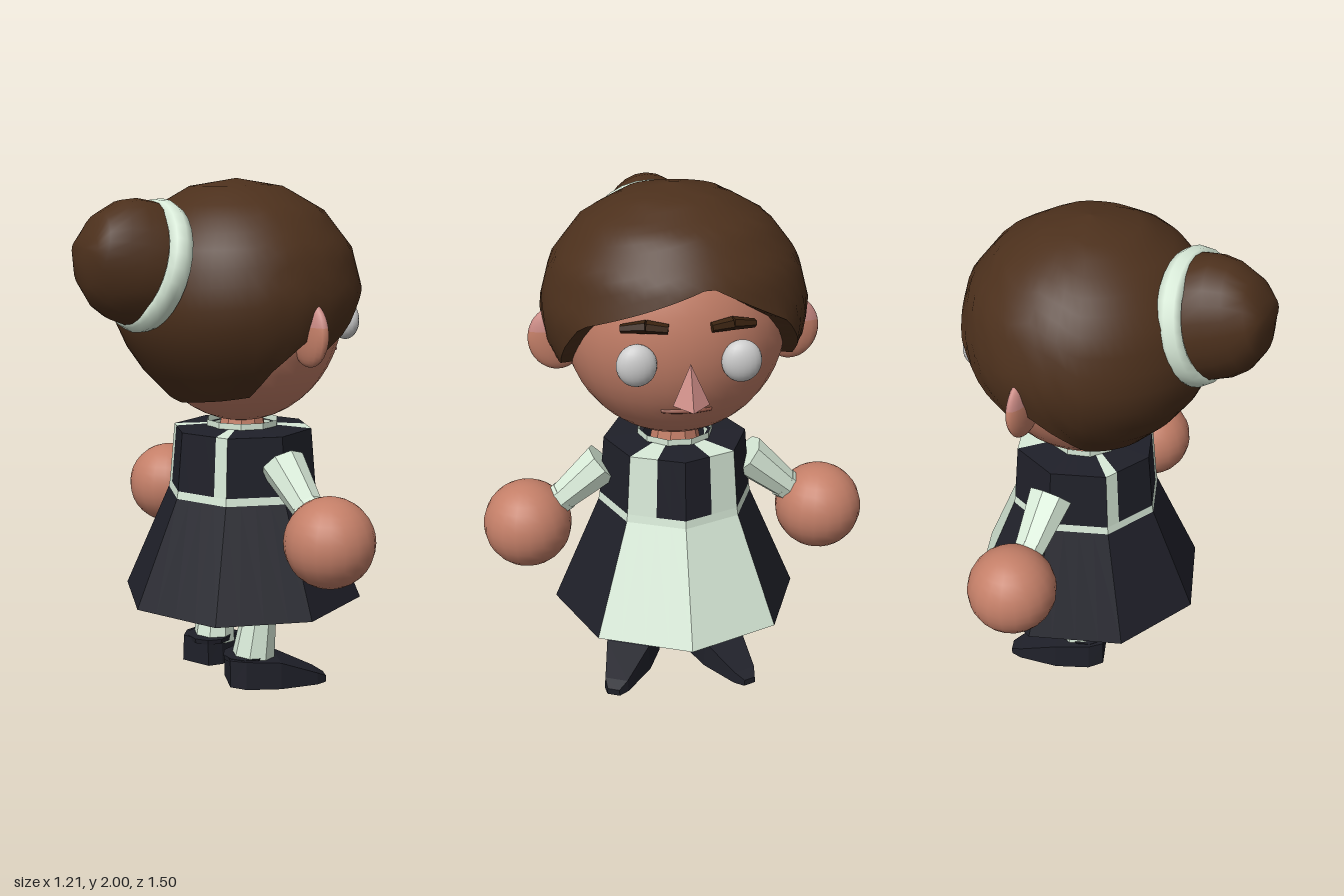
import * as THREE from 'three';
import { mergeGeometries } from 'three/addons/utils/BufferGeometryUtils.js';

const V = (x, y, z) => new THREE.Vector3(x, y, z);
const SKIN = 0xc47f68, PINK = 0xca8a84, HAIR = 0x4c301c, LIGHT = 0xd8ead8, DARK = 0x1f2029, GREY = 0xcccccc;
const BODY_X = 0.112;

const mat = (color, flat = false, double = false) => new THREE.MeshStandardMaterial({
  color, flatShading: flat, side: double ? THREE.DoubleSide : THREE.FrontSide });

function add(parent, name, geo, material, pos = [0, 0, 0], scale = [1, 1, 1]) {
  const m = new THREE.Mesh(geo, material);
  m.name = name;
  m.position.set(...pos);
  m.scale.set(...scale);
  parent.add(m);
  return m;
}

// Skin stretched over rows of points (top row first, azimuth from +x to +z)
function grid(rows, wrap) {
  const n = rows[0].length, idx = [];
  for (let j = 0; j < rows.length - 1; j++) {
    for (let i = 0; i < (wrap ? n : n - 1); i++) {
      const a = j * n + i, b = j * n + (i + 1) % n;
      idx.push(a, b, a + n, b, b + n, a + n);
    }
  }
  const g = new THREE.BufferGeometry().setFromPoints(rows.flat());
  g.setIndex(idx);
  g.computeVertexNormals();
  return g;
}

// Linear lookup in a list of [key, value], keys ascending
function lookup(table, k) {
  if (k <= table[0][0]) return table[0][1];
  for (let i = 1; i < table.length; i++) {
    const [k0, v0] = table[i - 1], [k1, v1] = table[i];
    if (k <= k1) return v0 + (v1 - v0) * (k - k0) / (k1 - k0);
  }
  return table[table.length - 1][1];
}

// Tapered cylinder between two points
function limb(parent, name, from, to, r0, r1, color, sides = 8) {
  const d = to.clone().sub(from);
  const m = add(parent, name, new THREE.CylinderGeometry(r1, r0, d.length(), sides), mat(color, true));
  m.position.copy(from).addScaledVector(d, 0.5);
  m.quaternion.setFromUnitVectors(V(0, 1, 0), d.normalize());
  return m;
}

// Eight-sided garment ring cut into 32 panels, four to a side
function octPoint(i, r, y) {
  const corner = k => V(BODY_X + r * Math.cos(k * Math.PI / 4), y, 0.985 * r * Math.sin(k * Math.PI / 4));
  const k = Math.floor(i / 4);
  return corner(k).lerp(corner(k + 1), i / 4 - k);
}
function garment(parent, name, profile, isLight) {
  for (const light of [true, false]) {
    const panels = [];
    for (let i = 0; i < 32; i++) {
      if (isLight(i) === light) panels.push(grid(profile.map(([r, y]) => [octPoint(i, r, y), octPoint(i + 1, r, y)])));
    }
    if (panels.length) {
      add(parent, name + (light ? 'Light' : 'Dark'), mergeGeometries(panels), mat(light ? LIGHT : DARK, true, true));
    }
  }
}

function buildHair(parent) {
  // Height to relative width
  const profile = [[1.1, 0.42], [1.13, 0.47], [1.2, 0.64], [1.32, 0.85], [1.45, 0.97], [1.57, 1], [1.74, 0.91],
    [1.88, 0.69], [1.97, 0.37], [2, 0]];
  // Azimuth in degrees to height of the hairline
  const hairline = [[-180, 1.15], [-135, 1.18], [-113, 1.2], [-106, 1.3], [-90, 1.42], [-78, 1.35], [-65, 1.43],
    [-46, 1.57], [-8, 1.735], [48, 1.57], [65, 1.43], [78, 1.35], [90, 1.42], [106, 1.3], [113, 1.2], [135, 1.18], [180, 1.15]];
  const N = 72, R = 14;
  const point = (i, t, inset = 1) => {
    const deg = -180 + 360 * i / N, a = deg * Math.PI / 180;
    const y = 2 - (2 - lookup(hairline, deg)) * t ** 1.7;
    const s = lookup(profile, y) * inset;
    const fringe = 1 + 0.04 * Math.max(0, Math.cos(a)) ** 4 * t;
    return V(0.08 + 0.48 * s * fringe * Math.cos(a), y, 0.5 * s * Math.sin(a));
  };
  const row = (t, inset) => Array.from({ length: N }, (_, i) => point(i, t, inset));
  add(parent, 'hair', grid(Array.from({ length: R + 1 }, (_, j) => row(j / R)), true), mat(HAIR, false, true));
  add(parent, 'hairEdge', grid([row(1), row(1, 0.82)], true), mat(HAIR, true, true));

  // Bun with its band, leaning back and up
  const bun = new THREE.Group();
  bun.name = 'bun';
  bun.position.set(-0.345, 1.685, 0.04);
  bun.quaternion.setFromUnitVectors(V(0, 1, 0), V(-0.964, 0.267, 0).normalize());
  parent.add(bun);
  // Oval sections from the tip: distance, height radius, width radius
  const sections = [[0.26, 0, 0], [0.259, 0.05, 0.1], [0.23, 0.138, 0.13], [0.164, 0.2, 0.16], [0.1, 0.225, 0.185],
    [0, 0.235, 0.215], [-0.06, 0.22, 0.21]];
  const rings = sections.map(([d, rx, rz]) => Array.from({ length: 24 }, (_, i) => {
    const a = i * Math.PI / 12;
    return V(rx * Math.cos(a), d, rz * Math.sin(a));
  }));
  add(bun, 'bunHair', grid(rings, true), mat(HAIR, false, true));
  const band = add(bun, 'bunBand', new THREE.TorusGeometry(0.215, 0.037, 8, 28), mat(LIGHT), [0, -0.008, 0], [1, 1.03, 1.3]);
  band.rotation.x = Math.PI / 2;
}

function buildHead(parent) {
  add(parent, 'head', new THREE.SphereGeometry(1, 32, 24), mat(SKIN), [0.1, 1.502, 0], [0.39, 0.442, 0.42]);
  // Four-sided nose, leaning forward with a sloping underside
  const nose = new THREE.ConeGeometry(1, 1, 4);
  const p = nose.attributes.position;
  for (let i = 0; i < p.count; i++) {
    const x = p.getX(i), y = p.getY(i);
    p.setXYZ(i, x + 0.35 * (0.5 - y), y - 0.06 * x, p.getZ(i));
  }
  add(parent, 'nose', nose, mat(PINK, true), [0.505, 1.385, 0], [0.06, 0.145, 0.065]);
  // Mouth follows the face
  const lips = new THREE.CatmullRomCurve3([V(0.402, 1.247, -0.09), V(0.416, 1.247, -0.04), V(0.416, 1.247, 0.04), V(0.402, 1.247, 0.09)]);
  add(parent, 'mouth', new THREE.TubeGeometry(lips, 10, 0.01, 6), mat(0x9a5a4a));
  for (const s of [1, -1]) {
    add(parent, 'eye', new THREE.SphereGeometry(1, 20, 16), mat(GREY), [0.475, 1.45, s * 0.185], [0.045, 0.077, 0.072]);
    limb(parent, 'eyebrowInner', V(0.484, 1.58, s * 0.075), V(0.468, 1.587, s * 0.15), 0.018, 0.024, 0x39220f, 6);
    limb(parent, 'eyebrowOuter', V(0.468, 1.587, s * 0.15), V(0.438, 1.574, s * 0.235), 0.024, 0.016, 0x39220f, 6);
    // Ear in two tones
    const split = Math.PI * 0.42;
    const ear = [[0.11, 1.44, s * 0.44], [0.036, 0.122, 0.108]];
    add(parent, 'earTop', new THREE.SphereGeometry(1, 16, 8, 0, Math.PI * 2, 0, split), mat(PINK), ...ear);
    add(parent, 'earLobe', new THREE.SphereGeometry(1, 16, 10, 0, Math.PI * 2, split, Math.PI - split), mat(SKIN), ...ear);
  }
}

function buildDress(parent) {
  // Wide straps in front, narrow ones behind
  const strap = i => [2, 3, 12, 19, 28, 29].includes(i);
  const apron = i => i < 4 || i > 27;
  garment(parent, 'shoulders', [[0.13, 1.04], [0.28, 1.03]], strap);
  garment(parent, 'bodice', [[0.28, 1.03], [0.3, 0.8]], strap);
  garment(parent, 'belt', [[0.3, 0.8], [0.305, 0.77]], () => true);
  garment(parent, 'skirt', [[0.305, 0.77], [0.488, 0.35]], apron);
  garment(parent, 'skirtLining', [[0.295, 0.77], [0.478, 0.351]], () => false);
  add(parent, 'collar', new THREE.CylinderGeometry(0.145, 0.145, 0.04, 10, 1, true), mat(LIGHT, true, true), [BODY_X, 1.043, 0]);
  add(parent, 'neck', new THREE.CylinderGeometry(0.08, 0.1, 0.1, 10), mat(SKIN, true), [BODY_X, 1.05, 0]);
}

function buildArm(parent, s) {
  const sleeve = limb(parent, 'sleeve', V(BODY_X, 0.925, s * 0.28), V(BODY_X, 0.788, s * 0.44), 0.083, 0.058, LIGHT);
  sleeve.scale.x = 1.1;
  limb(parent, 'cuff', V(BODY_X, 0.792, s * 0.434), V(BODY_X, 0.772, s * 0.458), 0.064, 0.06, LIGHT);
  limb(parent, 'wrist', V(BODY_X, 0.785, s * 0.445), V(BODY_X, 0.72, s * 0.53), 0.05, 0.05, DARK);
  add(parent, 'hand', new THREE.SphereGeometry(0.171, 20, 16), mat(SKIN), [BODY_X, 0.685, s * 0.579]);
}

function buildLeg(parent, s) {
  limb(parent, 'sock', V(0.07, 0.1, s * 0.145), V(0.108, 0.44, s * 0.165), 0.088, 0.056, LIGHT);
  limb(parent, 'sockTop', V(0.107, 0.42, s * 0.164), V(0.11, 0.45, s * 0.166), 0.06, 0.06, 0x8fb09a);
  limb(parent, 'leg', V(0.108, 0.43, s * 0.165), V(0.112, 0.53, s * 0.168), 0.05, 0.062, SKIN);
  // Shoe stations: distance from heel, half width, bottom, top
  const stations = [[0, 0.065, 0.022, 0.13], [0.06, 0.095, 0.018, 0.13], [0.2, 0.095, 0.012, 0.118],
    [0.36, 0.05, 0.003, 0.05], [0.4, 0.026, 0.003, 0.028]];
  const geo = new THREE.BoxGeometry(4, 1, 1, 4, 1, 1), p = geo.attributes.position;
  for (let i = 0; i < p.count; i++) {
    const [d, w, lo, hi] = stations[Math.round(p.getX(i) + 2)];
    const top = p.getY(i) > 0;
    p.setXYZ(i, d, top ? hi : lo, Math.sign(p.getZ(i)) * w * (top ? 0.93 : 1));
  }
  const shoe = add(parent, 'shoe', geo, mat(DARK, true), [-0.035, 0, s * 0.12]);
  shoe.rotation.y = -s * 0.4;
  add(parent, 'shoeRim', new THREE.CylinderGeometry(0.092, 0.088, 0.02, 10), mat(DARK, true), [0.042, 0.122, s * 0.135]);
}

export function createModel() {
  const model = new THREE.Group();
  model.name = 'doll';
  buildHead(model);
  buildHair(model);
  buildDress(model);
  for (const s of [1, -1]) {
    buildArm(model, s);
    buildLeg(model, s);
  }
  return model;
}
